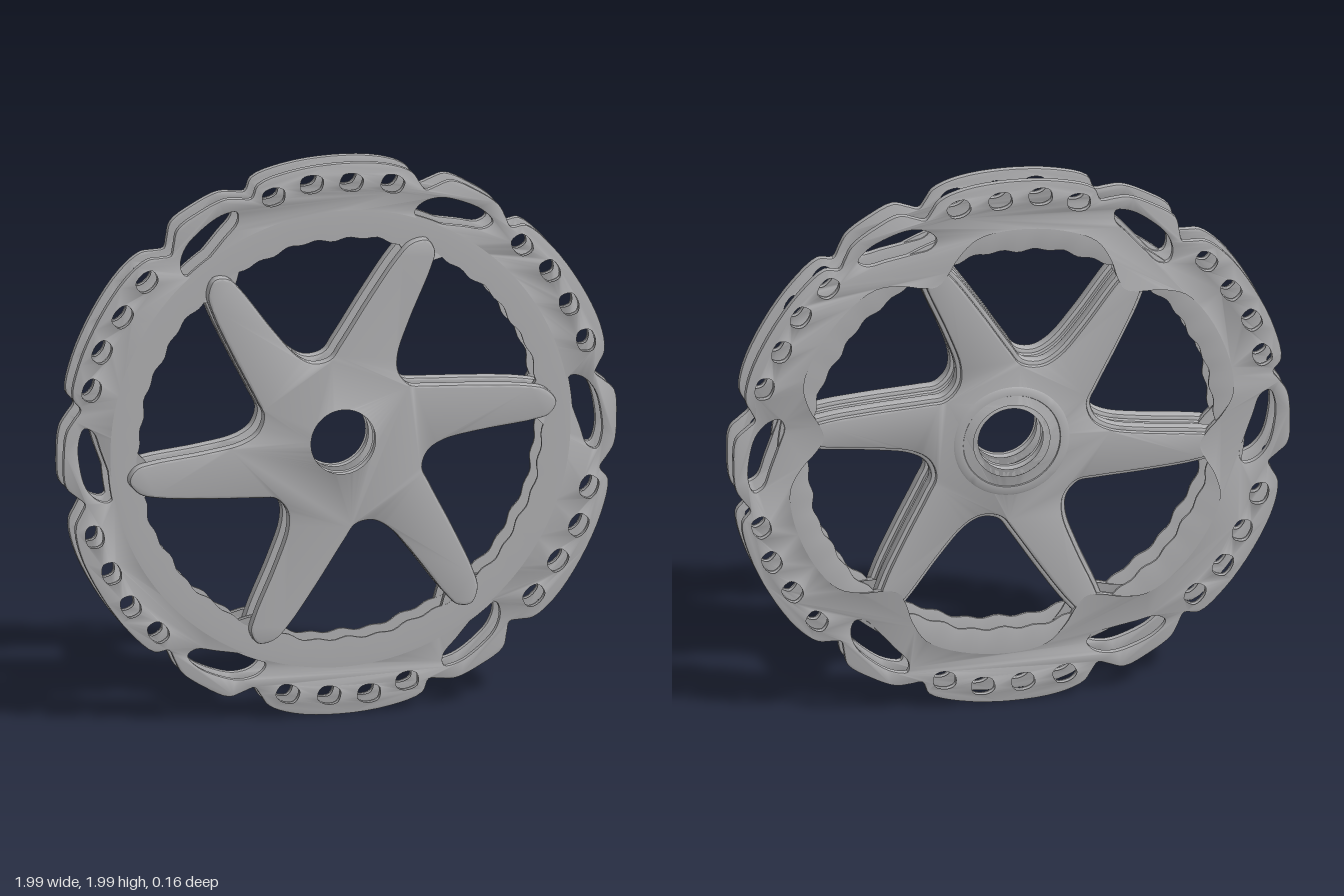
import * as THREE from 'three';
import { toCreasedNormals } from 'three/addons/utils/BufferGeometryUtils.js';

const ARMS = 6;
const STEP = 360 / ARMS;

// Polar point, angle in degrees clockwise from the top
const polar = ([deg, r]) => {
  const a = THREE.MathUtils.degToRad(deg);
  return new THREE.Vector3(r * Math.sin(a), r * Math.cos(a), 0);
};

// Smooth closed outline through a few points
function outline(points, divisions) {
  return new THREE.CatmullRomCurve3(points, true, 'centripetal')
    .getPoints(divisions).slice(0, -1)
    .map((p) => new THREE.Vector2(p.x, p.y));
}

// Repeat a sector of points around the wheel
function repeat(points) {
  const out = [];
  for (let i = 0; i < ARMS; i++) {
    const turn = -THREE.MathUtils.degToRad(i * STEP);
    for (const p of points) out.push(p.clone().applyAxisAngle(new THREE.Vector3(0, 0, 1), turn));
  }
  return out;
}

// Extrude between two z planes with a bevel that stays inside the outline
function slab(shape, z0, z1, bevel, inset = 0) {
  const geo = new THREE.ExtrudeGeometry(shape, {
    depth: z1 - z0 - 2 * bevel, bevelThickness: bevel, bevelSize: bevel,
    bevelOffset: -bevel - inset, bevelSegments: 2, curveSegments: 48,
  });
  geo.translate(0, 0, z0 + bevel);
  return toCreasedNormals(geo, 0.6);
}

// Braking plate: notched rim, scalloped inner edge, slots and windows
function plateGeometry() {
  const rim = [[-17.4, 0.985], [-10.3, 0.996], [0, 0.997], [9.6, 0.997], [15.2, 0.982],
    [17.6, 0.95], [19.3, 0.932], [21.2, 0.955], [23.8, 0.99], [29.5, 0.993], [35.2, 0.987], [38, 0.965], [40.4, 0.948]];
  const inner = [[0, 0.815], [9, 0.8], [15, 0.75], [19.5, 0.7], [23.3, 0.68],
    [27, 0.7], [31.5, 0.75], [37.5, 0.8], [47, 0.815]];
  const window = [[18.5, 0.845], [20.5, 0.822], [25, 0.832], [31, 0.86], [35.5, 0.89],
    [36.3, 0.925], [33, 0.941], [28, 0.936], [23, 0.92], [19.6, 0.885]];
  const slot = [[-2.8, -0.014], [-2, 0.03], [1, 0.034], [2.8, 0.012], [2, -0.03], [-1, -0.036]];
  const slotCentres = [[-15, 0.925], [-6.3, 0.935], [2.5, 0.927], [11.7, 0.93]];

  const shape = new THREE.Shape(outline(repeat(rim.map(polar)), 312));
  const hole = (pts, n) => shape.holes.push(new THREE.Path(outline(pts, n)));
  hole(repeat(inner.map(polar)), 216);
  for (let i = 0; i < ARMS; i++) {
    const turn = i * STEP;
    hole(window.map(([a, r]) => polar([a + turn, r])), 40);
    for (const [ca, cr] of slotCentres) {
      hole(slot.map(([a, r]) => polar([ca + a + turn, cr + r])), 24);
    }
  }
  return slab(shape, 0, 0.024, 0.004);
}

// Inner band: thin ring sloping away at the back, with a rippled inner edge
function bandGeometry() {
  const profile = [[0.725, 0.016], [0.725, 0.0245], [0.8, 0.0255], [0.835, 0.0235],
    [0.835, 0.008], [0.815, 0.003], [0.725, 0.016]]
    .map(([r, z]) => new THREE.Vector2(r, z));
  const geo = new THREE.LatheGeometry(profile, 240);
  geo.rotateX(Math.PI / 2);
  const pos = geo.attributes.position;
  for (let i = 0; i < pos.count; i++) {
    const x = pos.getX(i), y = pos.getY(i);
    const r = Math.hypot(x, y), a = Math.atan2(y, x);
    if (r > 0.77) continue;
    const k = (r + 0.005 * Math.sin(42 * a) + 0.004 * Math.sin(18 * a + 1)) / r;
    pos.setXY(i, x * k, y * k);
  }
  return toCreasedNormals(geo, 0.6);
}

// Six swept arms around a bored hub
function spiderShape(bore) {
  const arm = [[0.24, 0.19], [0.3, 0.183], [0.487, 0.173], [0.66, 0.157], [0.73, 0.138],
    [0.767, 0.09], [0.742, 0.046], [0.69, 0.03], [0.487, 0.005], [0.36, -0.02], [0.305, -0.055]]
    .map(([x, y]) => new THREE.Vector3(x, y, 0));
  const shape = new THREE.Shape(outline(repeat(arm), 330));
  shape.holes.push(new THREE.Path().absarc(0, 0, bore, 0, Math.PI * 2, true));
  return shape;
}

// Stepped collar on the back of the hub
function collarGeometry() {
  const profile = [[0.126, 0.03], [0.126, 0.02], [0.15, 0.02], [0.155, 0.008], [0.17, 0.008],
    [0.174, 0], [0.2, 0], [0.212, 0.008], [0.212, 0.03]]
    .map(([r, z]) => new THREE.Vector2(r, z));
  const geo = new THREE.LatheGeometry(profile, 64);
  geo.rotateX(Math.PI / 2);
  return toCreasedNormals(geo, 0.6);
}

export function createModel() {
  const metal = new THREE.MeshStandardMaterial({ color: 0xb0b0b2, side: THREE.DoubleSide });
  metal.name = 'brushed grey metal';

  const parts = {
    brakingPlate: plateGeometry(),
    innerBand: bandGeometry(),
    spider: slab(spiderShape(0.125), 0.02, 0.064, 0.009),
    spiderBackRidge: slab(spiderShape(0.16), 0.004, 0.03, 0.008, 0.016),
    hubCollar: collarGeometry(),
  };

  // Two identical discs, one behind the other
  const model = new THREE.Group();
  model.name = 'discPair';
  for (const [name, z] of [['frontDisc', 0.018], ['rearDisc', -0.082]]) {
    const disc = new THREE.Group();
    disc.name = name;
    for (const [part, geo] of Object.entries(parts)) {
      const mesh = new THREE.Mesh(geo, metal);
      mesh.name = part;
      disc.add(mesh);
    }
    disc.position.set(0, 1, z);
    model.add(disc);
  }
  return model;
}
